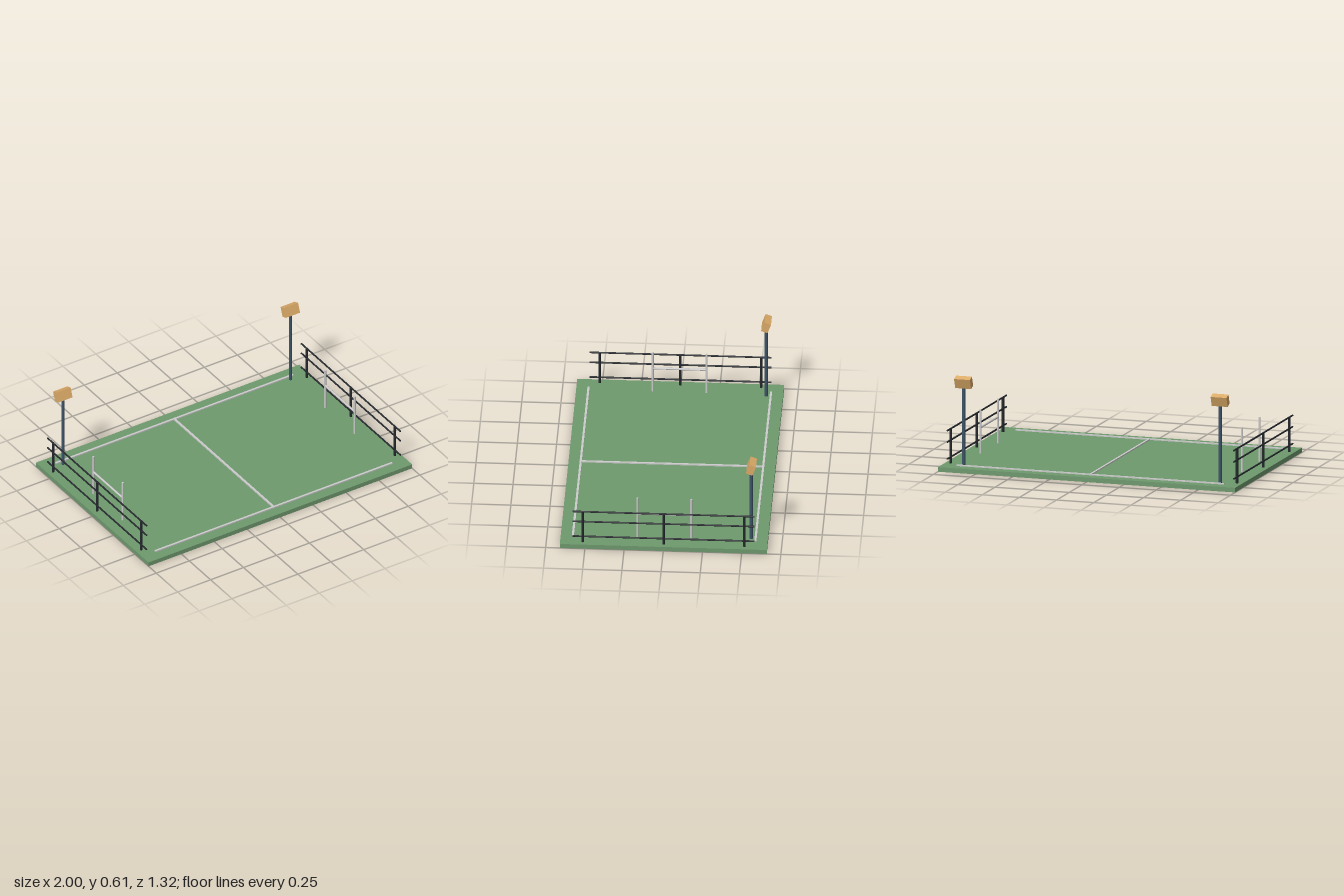
import * as THREE from 'three';

const mat = (color) => new THREE.MeshStandardMaterial({ color });

export function createModel() {
  const model = new THREE.Group();
  const green = mat(0x6f9a6e), white = mat(0xcccccc), dark = mat(0x24282c);
  const steel = mat(0x3d5468), amber = mat(0xdcab68);
  const TOP = 0.03; // height of the playing surface

  const box = (parent, name, m, size, pos) => {
    const mesh = new THREE.Mesh(new THREE.BoxGeometry(...size), m);
    mesh.name = name;
    mesh.position.set(...pos);
    parent.add(mesh);
    return mesh;
  };
  // Upright round post from y0 to y1
  const post = (parent, name, m, r, y0, y1, x, z) => {
    const mesh = new THREE.Mesh(new THREE.CylinderGeometry(r, r, y1 - y0, 12), m);
    mesh.name = name;
    mesh.position.set(x, (y0 + y1) / 2, z);
    parent.add(mesh);
  };
  // Round bar running along z
  const bar = (parent, name, m, r, length, x, y) => {
    const mesh = new THREE.Mesh(new THREE.CylinderGeometry(r, r, length, 12), m);
    mesh.name = name;
    mesh.rotation.x = Math.PI / 2;
    mesh.position.set(x, y, 0);
    parent.add(mesh);
  };

  // Pitch slab and its markings
  box(model, 'pitch', green, [2, TOP, 1.32], [0, TOP / 2, 0]);
  for (const s of [-1, 1])
    box(model, 'sideLine', white, [1.8, 0.008, 0.014], [0, TOP + 0.004, s * 0.582]);
  box(model, 'halfwayLine', white, [0.014, 0.008, 1.164], [0, TOP + 0.004, 0]);

  for (const s of [-1, 1]) {
    const side = s > 0 ? 'left' : 'right';

    // End fence: three posts and three rails
    const fence = new THREE.Group();
    fence.name = side + 'Fence';
    for (const z of [-0.515, 0, 0.515])
      post(fence, 'fencePost', dark, 0.0085, TOP, 0.255, s * 0.963, z);
    for (const y of [0.07, 0.18, 0.254])
      bar(fence, 'fenceRail', dark, 0.0055, 1.16, s * 0.963, y);

    // Goal: two uprights and a crossbar
    const goal = new THREE.Group();
    goal.name = side + 'Goal';
    for (const z of [-0.172, 0.172])
      post(goal, 'goalPost', white, 0.007, TOP, 0.318, s * 0.88, z);
    bar(goal, 'crossbar', white, 0.007, 0.344, s * 0.88, 0.2);

    // Floodlight: pole with a tilted lamp box
    const light = new THREE.Group();
    light.name = side + 'Floodlight';
    post(light, 'lightPole', steel, 0.0105, TOP, 0.55, s * 0.863, -0.553);
    const lamp = box(light, 'lamp', amber, [0.107, 0.067, 0.043], [s * 0.863, 0.57, -0.555]);
    lamp.rotation.x = -0.35;

    model.add(fence, goal, light);
  }
  return model;
}
